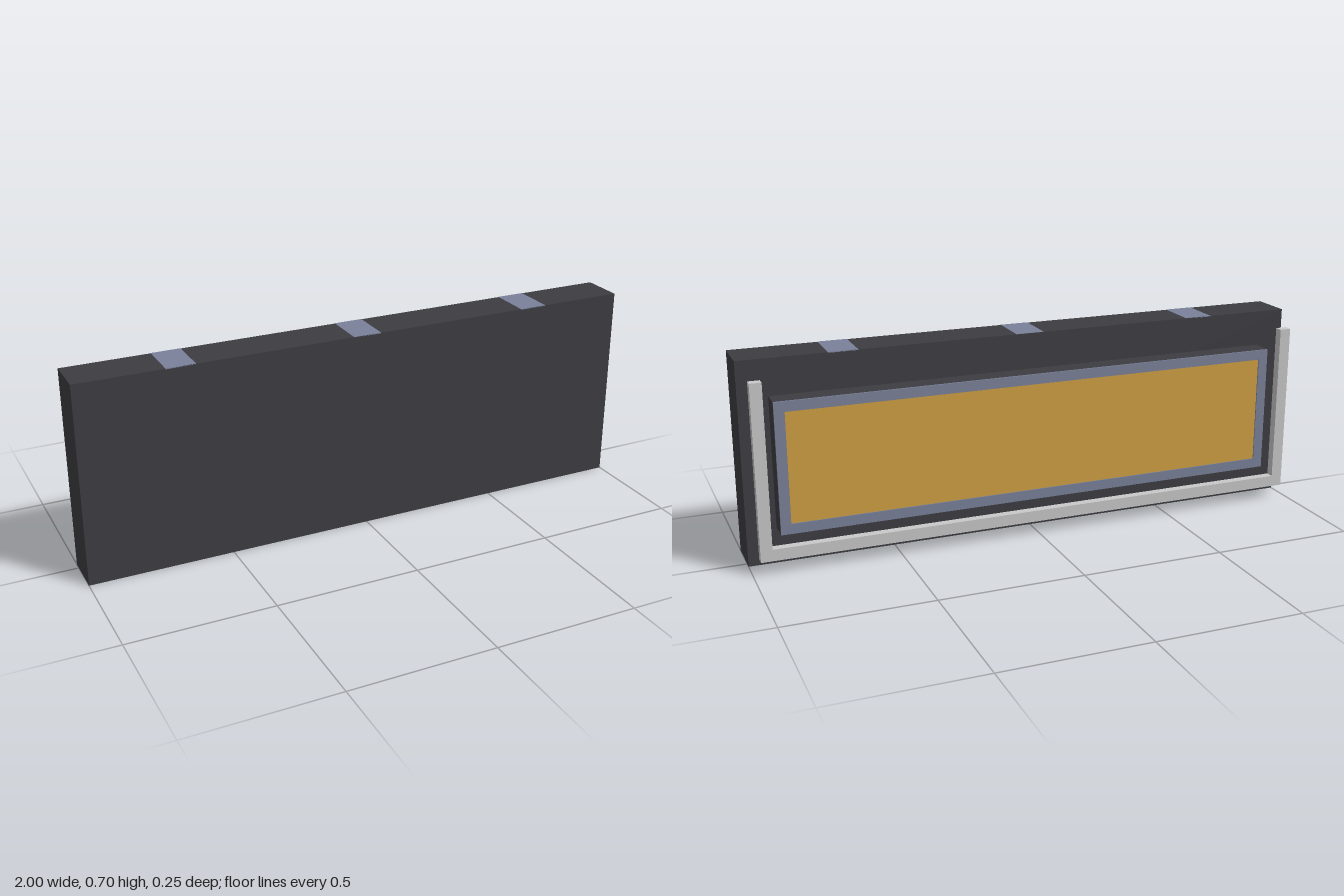
import * as THREE from 'three';

export function createModel() {
  const model = new THREE.Group();
  const mat = (name, color) => {
    const m = new THREE.MeshStandardMaterial({ color });
    m.name = name;
    return m;
  };
  const charcoal = mat('charcoal', 0x3d3c41);
  const slate = mat('slate blue', 0x7a8199);
  const gold = mat('amber', 0xcf9f42);
  const silver = mat('light grey', 0xc8c8c8);

  // Box given by its lower and upper corners
  const box = (name, material, [x0, y0, z0], [x1, y1, z1], parent = model) => {
    const mesh = new THREE.Mesh(new THREE.BoxGeometry(x1 - x0, y1 - y0, z1 - z0), material);
    mesh.position.set((x0 + x1) / 2, (y0 + y1) / 2, (z0 + z1) / 2);
    mesh.name = name;
    parent.add(mesh);
    return mesh;
  };

  // Main slab and the raised block on its back
  box('mainSlab', charcoal, [-1, 0, -0.025], [1, 0.7, 0.125]);
  box('rearBlock', charcoal, [-0.9, 0.125, -0.095], [0.9, 0.575, -0.025]);

  // Flush strips across the top
  for (const x of [-0.65, 0, 0.65]) {
    box('topStrip', slate, [x - 0.05, 0.698, -0.025], [x + 0.05, 0.701, 0.125]);
  }

  // Amber panel inside a thin border
  box('rearPanel', gold, [-0.865, 0.16, -0.097], [0.865, 0.54, -0.094]);
  const rect = (Type, w, h) => new Type([[-w, -h], [w, -h], [w, h], [-w, h]].map(([x, y]) => new THREE.Vector2(x, y)));
  const outline = rect(THREE.Shape, 0.9, 0.225);
  outline.holes.push(rect(THREE.Path, 0.865, 0.19));
  const border = new THREE.Mesh(new THREE.ExtrudeGeometry(outline, { depth: 0.006, bevelEnabled: false }), slate);
  border.position.set(0, 0.35, -0.101);
  border.name = 'panelBorder';
  model.add(border);

  // Three-sided bracket, open at the top
  const bracket = new THREE.Group();
  bracket.name = 'rearBracket';
  model.add(bracket);
  for (const s of [-1, 1]) {
    box('bracketSide', silver, [s * 0.955 - 0.02, 0.05, -0.125], [s * 0.955 + 0.02, 0.65, -0.095], bracket);
  }
  box('bracketBottom', silver, [-0.935, 0.05, -0.125], [0.935, 0.09, -0.095], bracket);

  return model;
}
